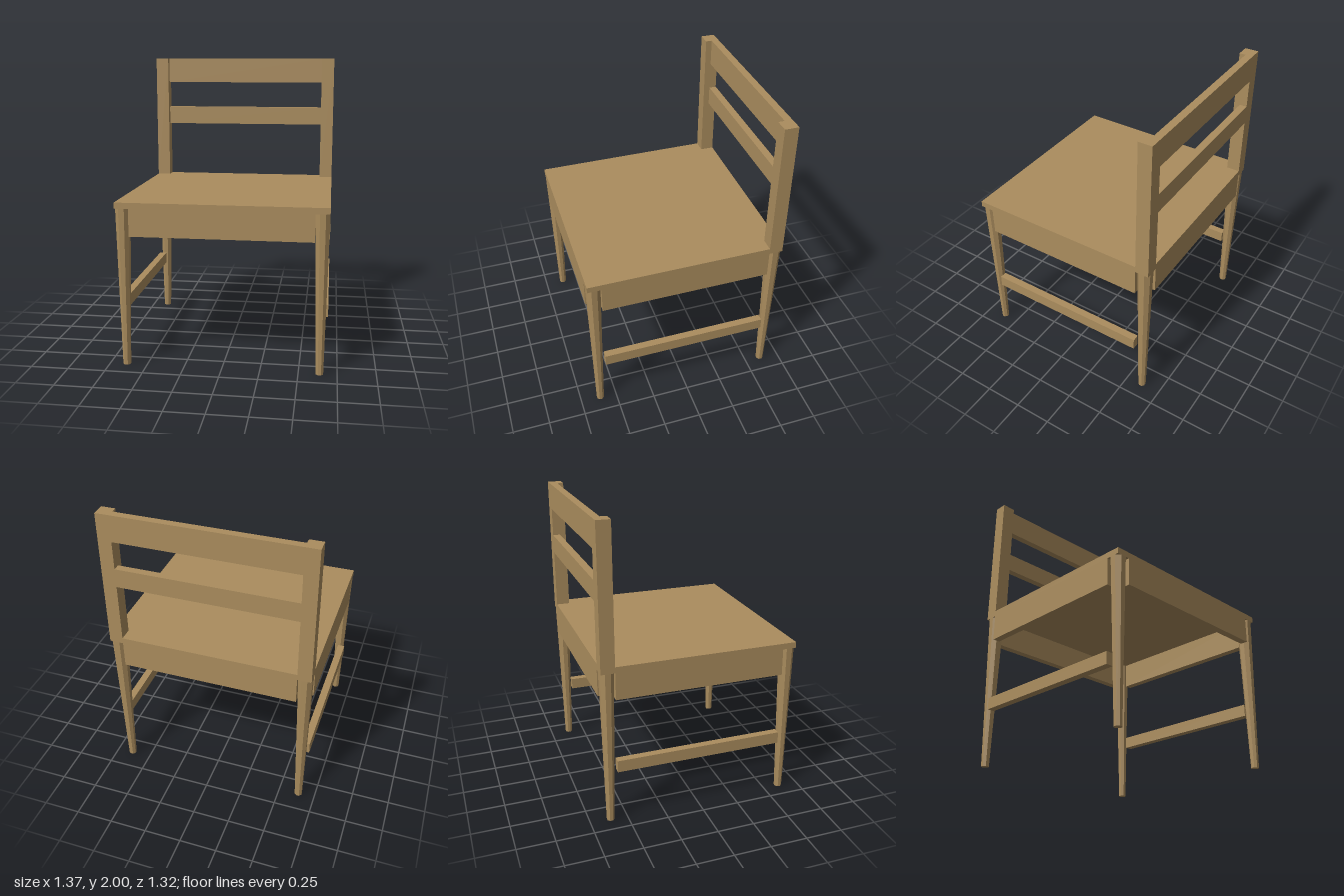
import * as THREE from 'three';

export function createModel() {
  const chair = new THREE.Group();
  chair.name = 'chair';
  const wood = new THREE.MeshStandardMaterial({ color: 0xab8d5e });
  wood.name = 'wood';
  const legWood = wood.clone();
  legWood.flatShading = true;

  const W = 0.683, D = 0.659;   // half width and half depth
  const POST = 0.092, T = 0.05; // post section and board thickness
  const SEAT_TOP = 1.1, SEAT_BOTTOM = 1.06;
  const innerX = W - POST, innerZ = D - POST;

  // Box given by its minimum and maximum corners
  function board(name, x0, x1, y0, y1, z0, z1) {
    const mesh = new THREE.Mesh(new THREE.BoxGeometry(x1 - x0, y1 - y0, z1 - z0), wood);
    mesh.position.set((x0 + x1) / 2, (y0 + y1) / 2, (z0 + z1) / 2);
    mesh.name = name;
    chair.add(mesh);
  }

  // Seat slab
  board('seat', -W, W, SEAT_BOTTOM, SEAT_TOP, -D, D);

  // Front and back aprons, flush with the seat edge
  board('frontApron', -innerX, innerX, 0.88, SEAT_BOTTOM, D - T, D);
  board('backApron', -innerX, innerX, 0.88, SEAT_BOTTOM, -D, -D + T);

  // Backrest rails, flush with the back of the posts
  board('topRail', -innerX, innerX, 1.82, 2, -D, -D + T);
  board('middleRail', -innerX, innerX, 1.5, 1.63, -D, -D + T);

  // Tapered octagonal legs with flats facing outwards
  const k = 1 / Math.cos(Math.PI / 8);
  const legGeometry = new THREE.CylinderGeometry(0.046 * k, 0.024 * k, SEAT_BOTTOM, 8);
  legGeometry.rotateY(Math.PI / 8);

  for (const [side, s] of [['left', 1], ['right', -1]]) {
    const span = (a, b) => (s > 0 ? [a, b] : [-b, -a]);
    const [p0, p1] = span(innerX, W);
    const [b0, b1] = span(W - T, W);
    board(side + 'BackPost', p0, p1, SEAT_TOP, 2, -D, -innerZ);
    board(side + 'Apron', b0, b1, 0.88, SEAT_BOTTOM, -innerZ, innerZ);
    board(side + 'Stretcher', b0, b1, 0.37, 0.45, -innerZ, innerZ);

    for (const [end, e] of [['Front', 1], ['Back', -1]]) {
      const leg = new THREE.Mesh(legGeometry, legWood);
      leg.name = side + end + 'Leg';
      leg.position.set(s * (W - POST / 2), SEAT_BOTTOM / 2, e * (D - POST / 2));
      chair.add(leg);
    }
  }
  return chair;
}
